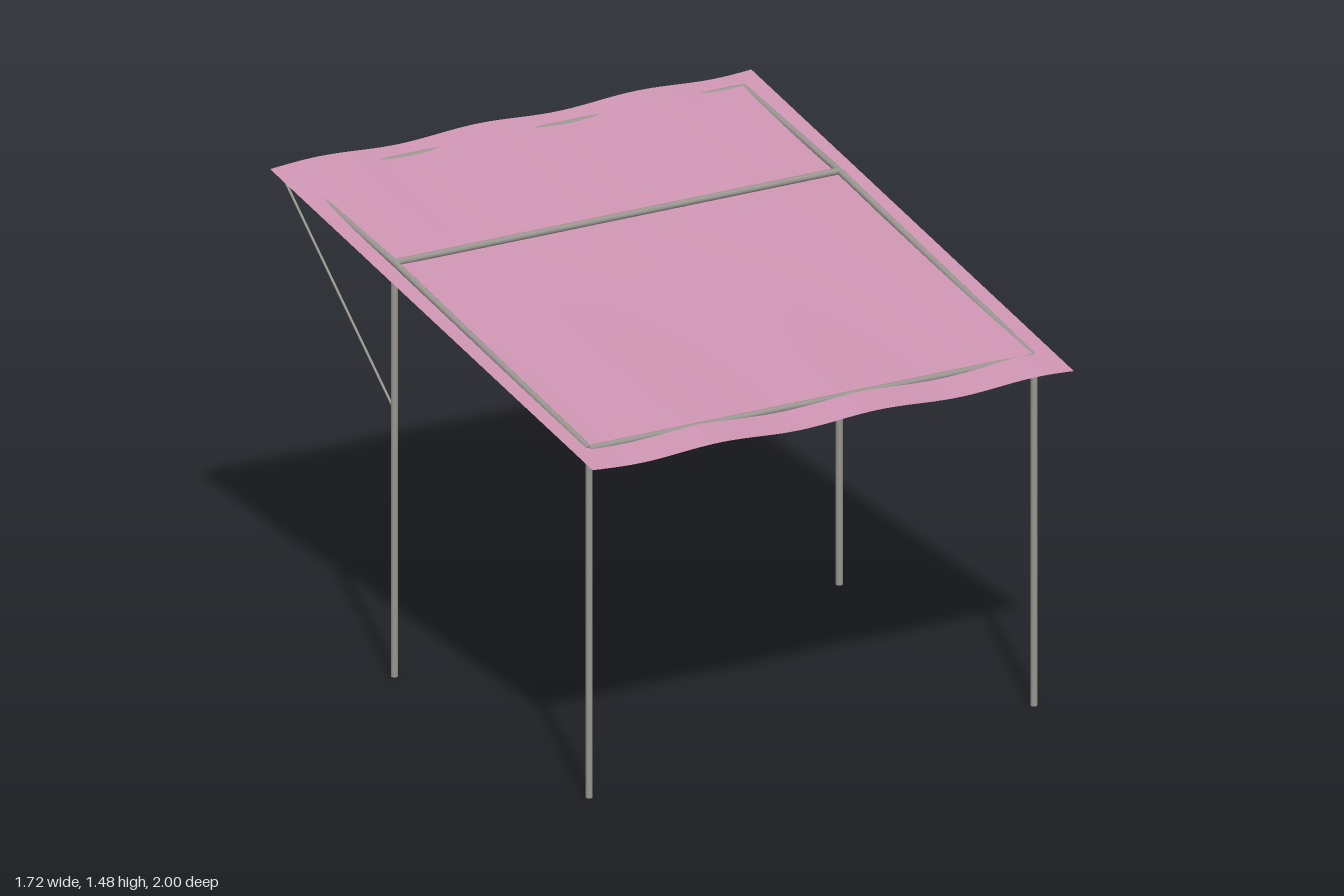
import * as THREE from 'three';

export function createModel() {
  const model = new THREE.Group();
  const fabric = new THREE.MeshStandardMaterial({ color: 0xcc93b0, side: THREE.DoubleSide });
  fabric.name = 'pink fabric';
  const metal = new THREE.MeshStandardMaterial({ color: 0x999690 });
  metal.name = 'grey metal';

  // Round bar between two points
  function bar(name, a, b, radius) {
    const from = new THREE.Vector3(...a), to = new THREE.Vector3(...b);
    const dir = to.clone().sub(from);
    const mesh = new THREE.Mesh(new THREE.CylinderGeometry(radius, radius, dir.length(), 12), metal);
    mesh.position.copy(from).add(to).multiplyScalar(0.5);
    mesh.quaternion.setFromUnitVectors(new THREE.Vector3(0, 1, 0), dir.normalize());
    mesh.name = name;
    model.add(mesh);
  }

  // Sloping cloth with a slight sag and rippled front and back edges
  const cloth = new THREE.PlaneGeometry(1.72, 2, 48, 32).rotateX(-Math.PI / 2);
  const p = cloth.attributes.position;
  for (let i = 0; i < p.count; i++) {
    const x = p.getX(i), z = p.getZ(i);
    const sag = 0.02 * Math.cos(Math.PI * x / 1.72) * Math.cos(Math.PI * z / 2);
    const ripple = -0.007 * z * Math.cos(2 * Math.PI * (x + 0.12) / 0.57);
    p.setY(i, 1.309 - 0.169 * z - sag + ripple);
  }
  cloth.computeVertexNormals();
  const canopy = new THREE.Mesh(cloth, fabric);
  canopy.name = 'canopy';
  model.add(canopy);

  // Frame joints along each side: front, middle, back
  const X = 0.795, R = 0.011;
  const joints = [['front', 1.157, 0.865], ['middle', 1.372, -0.342], ['back', 1.452, -0.935]];
  for (const [place, y, z] of joints) bar(place + 'Crossbar', [-X, y, z], [X, y, z], R);

  for (const [side, s] of [['left', 1], ['right', -1]]) {
    const [front, middle, back] = joints.map(([, y, z]) => [s * X, y, z]);
    bar(side + 'FrontRail', front, middle, R);
    bar(side + 'BackRail', middle, back, R);
    bar(side + 'FrontPost', [s * X, 0, front[2]], front, R);
    bar(side + 'MiddlePost', [s * X, 0, middle[2]], middle, R);
    // Thin stay from the post to the overhanging corner
    bar(side + 'Stay', [s * X, 0.888, -0.348], [s * 0.82, 1.445, -0.988], 0.004);
  }
  return model;
}
